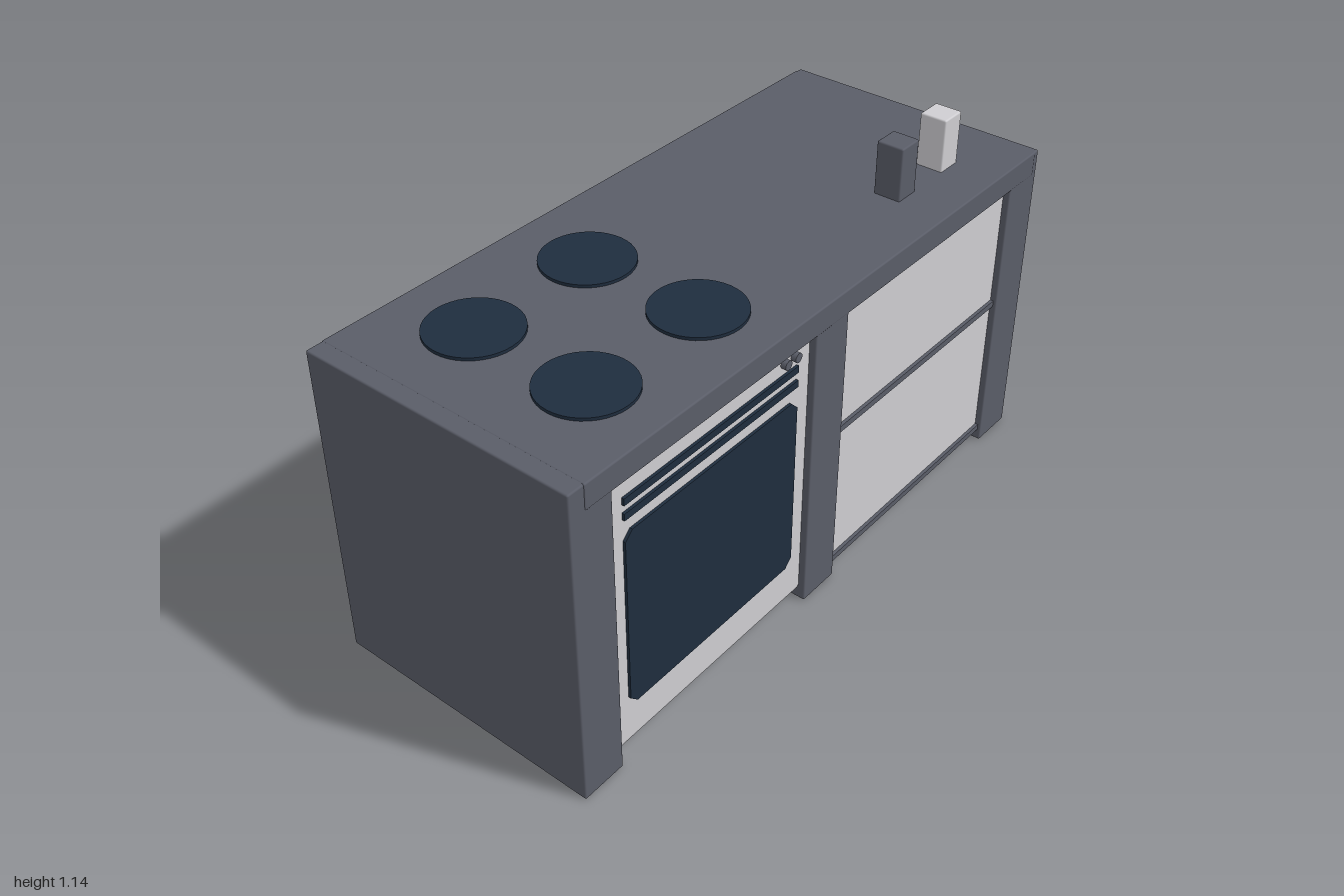
import * as THREE from 'three';
import { RoundedBoxGeometry } from 'three/addons/geometries/RoundedBoxGeometry.js';

export function createModel() {
  const group = new THREE.Group();
  const material = (name, color) => {
    const m = new THREE.MeshStandardMaterial({ color });
    m.name = name;
    return m;
  };
  const slate = material('slate grey', 0x5a5d68);
  const pale = material('pale grey', 0xcfced2);
  const glass = material('dark blue glass', 0x1f2d3e);

  const add = (name, geometry, mat) => {
    const mesh = new THREE.Mesh(geometry, mat);
    mesh.name = name;
    group.add(mesh);
    return mesh;
  };
  // Box given by its limits, optionally with rounded edges
  const box = (name, mat, x0, x1, y0, y1, z0, z1, r = 0) => {
    const size = [x1 - x0, y1 - y0, z1 - z0];
    const g = r ? new RoundedBoxGeometry(...size, 2, r) : new THREE.BoxGeometry(...size);
    add(name, g, mat).position.set((x0 + x1) / 2, (y0 + y1) / 2, (z0 + z1) / 2);
  };

  // Upright panels and worktop
  box('rightSidePanel', slate, -1, -0.86, 0, 0.98, -0.405, 0.45, 0.005);
  box('middlePanel', slate, -0.09, 0.05, 0, 0.95, -0.405, 0.45, 0.005);
  box('leftSidePanel', slate, 0.855, 1, 0, 0.98, -0.405, 0.45, 0.005);
  box('worktop', slate, -0.95, 0.98, 0.905, 0.981, -0.407, 0.452, 0.005);

  // Oven body, slightly recessed, the same on both faces
  const front = 0.43, back = -0.395;
  box('ovenBody', pale, -0.875, -0.075, 0.03, 0.93, back, front, 0.02);

  // Oven window outline with cut corners
  const x0 = -0.81, x1 = -0.145, y0 = 0.17, y1 = 0.735, c = 0.025;
  const outline = new THREE.Shape([
    [x0 + c, y0], [x1 - c, y0], [x1, y0 + c], [x1, y1 - c],
    [x1 - c, y1], [x0 + c, y1], [x0, y1 - c], [x0, y0 + c],
  ].map(([x, y]) => new THREE.Vector2(x, y)));
  for (const [side, z] of [['front', front], ['back', back - 0.008]]) {
    const g = new THREE.ExtrudeGeometry(outline, { depth: 0.008, bevelEnabled: false });
    add(side + 'OvenWindow', g, glass).position.z = z;
    for (const y of [0.775, 0.82]) box(side + 'OvenVent', glass, x0, x1, y, y + 0.021, z, z + 0.008);
    // Oven knobs
    for (const x of [-0.2, -0.158]) {
      const knob = new THREE.CylinderGeometry(0.014, 0.014, 0.024, 12).rotateX(Math.PI / 2);
      add(side + 'OvenKnob', knob, slate).position.set(x, 0.875, z + 0.004);
    }
  }

  // Drawers and the rails between them
  box('lowerDrawer', pale, 0.04, 0.865, 0.03, 0.51, back, front);
  box('upperDrawer', pale, 0.04, 0.865, 0.52, 0.92, back, front);
  box('middleRail', slate, 0.015, 0.94, 0.505, 0.525, -0.408, 0.44);
  box('bottomRail', slate, 0.045, 0.86, 0.036, 0.055, -0.404, 0.44);

  // Drawer handles on the back
  for (const y of [0.73, 0.285]) {
    box('handleBar', slate, 0.215, 0.72, y - 0.01, y + 0.01, -0.45, -0.43);
    for (const x of [0.215, 0.703]) box('handlePost', slate, x, x + 0.017, y - 0.01, y + 0.01, -0.43, back);
  }

  // Hob plates
  for (const x of [-0.685, -0.275]) {
    for (const z of [-0.153, 0.217]) {
      add('hobPlate', new THREE.CylinderGeometry(0.131, 0.131, 0.02, 40), glass).position.set(x, 0.98, z);
    }
  }

  // Salt and pepper shakers
  box('pepperShaker', slate, 0.488, 0.568, 0.975, 1.142, 0.222, 0.306, 0.005);
  box('saltShaker', pale, 0.703, 0.785, 0.975, 1.142, 0.222, 0.306, 0.005);

  return group;
}
